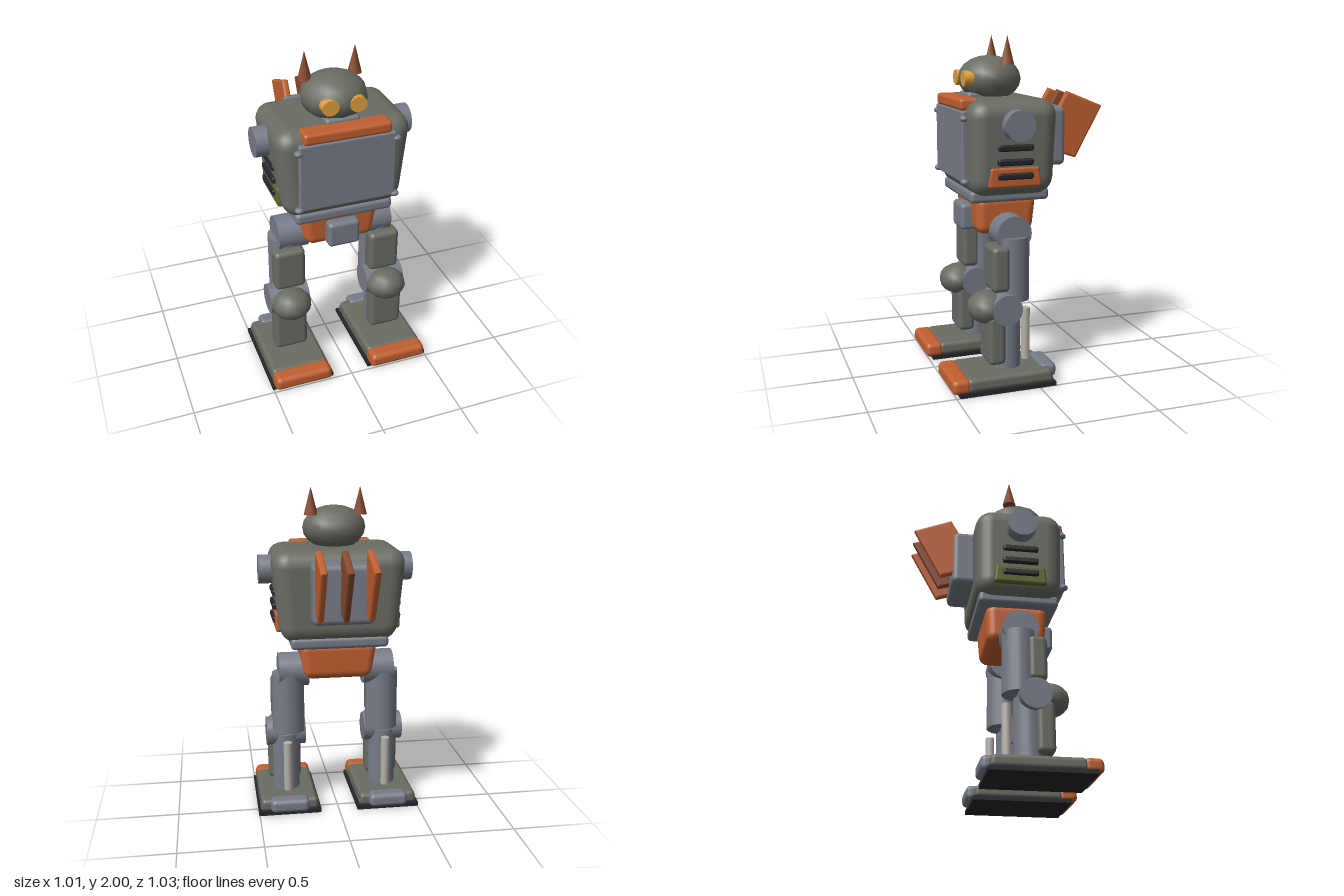
import * as THREE from 'three';
import { RoundedBoxGeometry } from 'three/addons/geometries/RoundedBoxGeometry.js';

const material = (color) => new THREE.MeshStandardMaterial({ color });
const OLIVE = material(0x686c62);
const STEEL = material(0x767c87);
const ORANGE = material(0xc05f30);
const RUST = material(0x87492e);
const DARK = material(0x25262b);
const AMBER = material(0xe0a040);
const CHROME = material(0xb8b2aa);
const MOSS = material(0x62662c);

function add(parent, name, geometry, mat, x = 0, y = 0, z = 0) {
  const mesh = new THREE.Mesh(geometry, mat);
  mesh.name = name;
  mesh.position.set(x, y, z);
  parent.add(mesh);
  return mesh;
}

// Rounded box given by its limits; the bottom and top can be scaled in x and z
function block(parent, name, mat, [x0, x1], [y0, y1], [z0, z1], radius, bottom = [1, 1], top = [1, 1]) {
  const h = y1 - y0;
  const geometry = new RoundedBoxGeometry(x1 - x0, h, z1 - z0, 3, radius);
  const p = geometry.attributes.position;
  for (let i = 0; i < p.count; i++) {
    const t = p.getY(i) / h + 0.5;
    p.setX(i, p.getX(i) * THREE.MathUtils.lerp(bottom[0], top[0], t));
    p.setZ(i, p.getZ(i) * THREE.MathUtils.lerp(bottom[1], top[1], t));
  }
  return add(parent, name, geometry, mat, (x0 + x1) / 2, (y0 + y1) / 2, (z0 + z1) / 2);
}

// Cylinder lying along the x axis
function axle(parent, name, mat, radius, x0, x1, y, z) {
  const geometry = new THREE.CylinderGeometry(radius, radius, x1 - x0, 20).rotateZ(Math.PI / 2);
  return add(parent, name, geometry, mat, (x0 + x1) / 2, y, z);
}

function post(parent, name, mat, radius, y0, y1, x, z, sides = 20) {
  return add(parent, name, new THREE.CylinderGeometry(radius, radius, y1 - y0, sides), mat, x, (y0 + y1) / 2, z);
}

function ball(parent, name, mat, [rx, ry, rz], x, y, z, w = 12, h = 8) {
  return add(parent, name, new THREE.SphereGeometry(1, w, h).scale(rx, ry, rz), mat, x, y, z);
}

function createLeg(side) {
  const leg = new THREE.Group();
  leg.name = side > 0 ? 'leftLeg' : 'rightLeg';
  const cx = 0.31 * side;
  const span = (half, c = cx) => [c - half, c + half];

  // Foot
  add(leg, 'sole', new THREE.BoxGeometry(0.39, 0.025, 0.58), DARK, cx, 0.0125, 0.188);
  block(leg, 'foot', OLIVE, span(0.187), [0.02, 0.095], [-0.092, 0.43], 0.025, [1, 1], [0.93, 0.98]);
  block(leg, 'toeCap', ORANGE, span(0.187), [0.012, 0.096], [0.405, 0.517], 0.03, [1, 1], [0.93, 0.95]);
  block(leg, 'heel', STEEL, span(0.12), [0.02, 0.105], [-0.133, -0.03], 0.03);

  // Shin
  post(leg, 'shin', STEEL, 0.085, 0.08, 0.46, cx, 0.145);
  block(leg, 'shinPlate', OLIVE, span(0.104, 0.315 * side), [0.13, 0.43], [0.175, 0.278], 0.03);
  post(leg, 'piston', CHROME, 0.027, 0.115, 0.43, cx, 0.022, 10);

  // Knee
  const knee = span(0.122);
  axle(leg, 'kneeJoint', STEEL, 0.09, knee[0], knee[1], 0.46, 0.17);
  ball(leg, 'kneeCap', OLIVE, [0.125, 0.095, 0.115], cx, 0.46, 0.262);

  // Thigh and hip
  post(leg, 'thigh', STEEL, 0.1, 0.49, 0.865, 0.295 * side, 0.1);
  block(leg, 'thighPlate', OLIVE, span(0.095, 0.302 * side), [0.555, 0.822], [0.14, 0.247], 0.03);
  const hip = [0.17 * side, 0.355 * side].sort((a, b) => a - b);
  axle(leg, 'hipJoint', STEEL, 0.105, hip[0], hip[1], 0.885, 0.105);
  return leg;
}

function createPelvis() {
  const pelvis = new THREE.Group();
  pelvis.name = 'pelvis';
  block(pelvis, 'pelvisBlock', ORANGE, [-0.24, 0.24], [0.855, 1.09], [-0.08, 0.29], 0.055, [0.84, 0.92]);
  block(pelvis, 'frontGuard', STEEL, [-0.097, 0.097], [0.868, 1.027], [0.24, 0.345], 0.025);
  block(pelvis, 'waistPlate', STEEL, [-0.293, 0.293], [1.063, 1.135], [-0.13, 0.345], 0.025);
  return pelvis;
}

function createTorso() {
  const torso = new THREE.Group();
  torso.name = 'torso';
  block(torso, 'torsoShell', OLIVE, [-0.395, 0.395], [1.1, 1.652], [-0.16, 0.367], 0.1, [0.88, 0.96], [1.02, 1]);

  // Chest plate, corner bolts and collar
  block(torso, 'chestPlate', STEEL, [-0.283, 0.283], [1.182, 1.59], [0.33, 0.39], 0.012);
  for (const x of [-0.285, 0.285])
    for (const y of [1.192, 1.548]) ball(torso, 'bolt', STEEL, [0.027, 0.018, 0.025], x, y, 0.378);
  block(torso, 'collar', ORANGE, [-0.255, 0.255], [1.588, 1.656], [0.277, 0.392], 0.02);

  // Shoulder stubs and side vents
  for (const s of [-1, 1]) {
    const arm = [0.3 * s, 0.464 * s].sort((a, b) => a - b);
    axle(torso, 'shoulderStub', STEEL, 0.087, arm[0], arm[1], 1.515, 0.105);
    [1.225, 1.305, 1.385].forEach((y) =>
      block(torso, 'vent', DARK, [0.365 * s - 0.025, 0.365 * s + 0.025], [y - 0.019, y + 0.019], [0, 0.21], 0.012));
    block(torso, 'sidePanel', s > 0 ? ORANGE : MOSS, [0.35 * s - 0.025, 0.35 * s + 0.025],
      [1.16, 1.275], [-0.053, 0.263], 0.015, [1, 1], [1, 0.92]);
  }
  return torso;
}

function createBackpack() {
  const pack = new THREE.Group();
  pack.name = 'backpack';
  block(pack, 'packBox', STEEL, [-0.181, 0.181], [1.24, 1.592], [-0.28, -0.1], 0.035);

  // Fin outline drawn as (z, y), then turned into the side plane
  const bevel = 0.012;
  const outline = [[-0.295, 1.662], [-0.5, 1.58], [-0.343, 1.294], [-0.2, 1.34], [-0.225, 1.54]];
  const shape = new THREE.Shape(outline.map(([z, y]) => new THREE.Vector2(-z, y)));
  const geometry = new THREE.ExtrudeGeometry(shape, {
    depth: 0.016, bevelEnabled: true, bevelThickness: bevel, bevelSize: bevel, bevelSegments: 2,
  }).translate(0, 0, -0.008).rotateY(Math.PI / 2);
  for (const x of [-0.147, 0, 0.147]) add(pack, 'fin', geometry, x === 0 ? RUST : ORANGE, x);
  return pack;
}

function createHead() {
  const head = new THREE.Group();
  head.name = 'head';
  ball(head, 'skull', OLIVE, [0.192, 0.133, 0.188], 0, 1.753, 0.14, 12, 10);
  post(head, 'neck', STEEL, 0.11, 1.62, 1.69, 0, 0.14);
  block(head, 'jaw', STEEL, [-0.1, 0.1], [1.63, 1.677], [0.18, 0.3], 0.02);
  for (const s of [-1, 1]) {
    const eye = new THREE.CylinderGeometry(0.05, 0.05, 0.11, 14).rotateX(Math.PI / 2).scale(1, 0.9, 1);
    add(head, 'eye', eye, AMBER, 0.08 * s, 1.756, 0.267);
    add(head, 'ear', new THREE.ConeGeometry(0.042, 0.165, 8), RUST, 0.147 * s, 1.9175, 0.077);
  }
  return head;
}

export function createModel() {
  const model = new THREE.Group();
  model.name = 'walkerRobot';
  model.add(createLeg(1), createLeg(-1), createPelvis(), createTorso(), createBackpack(), createHead());
  return model;
}
